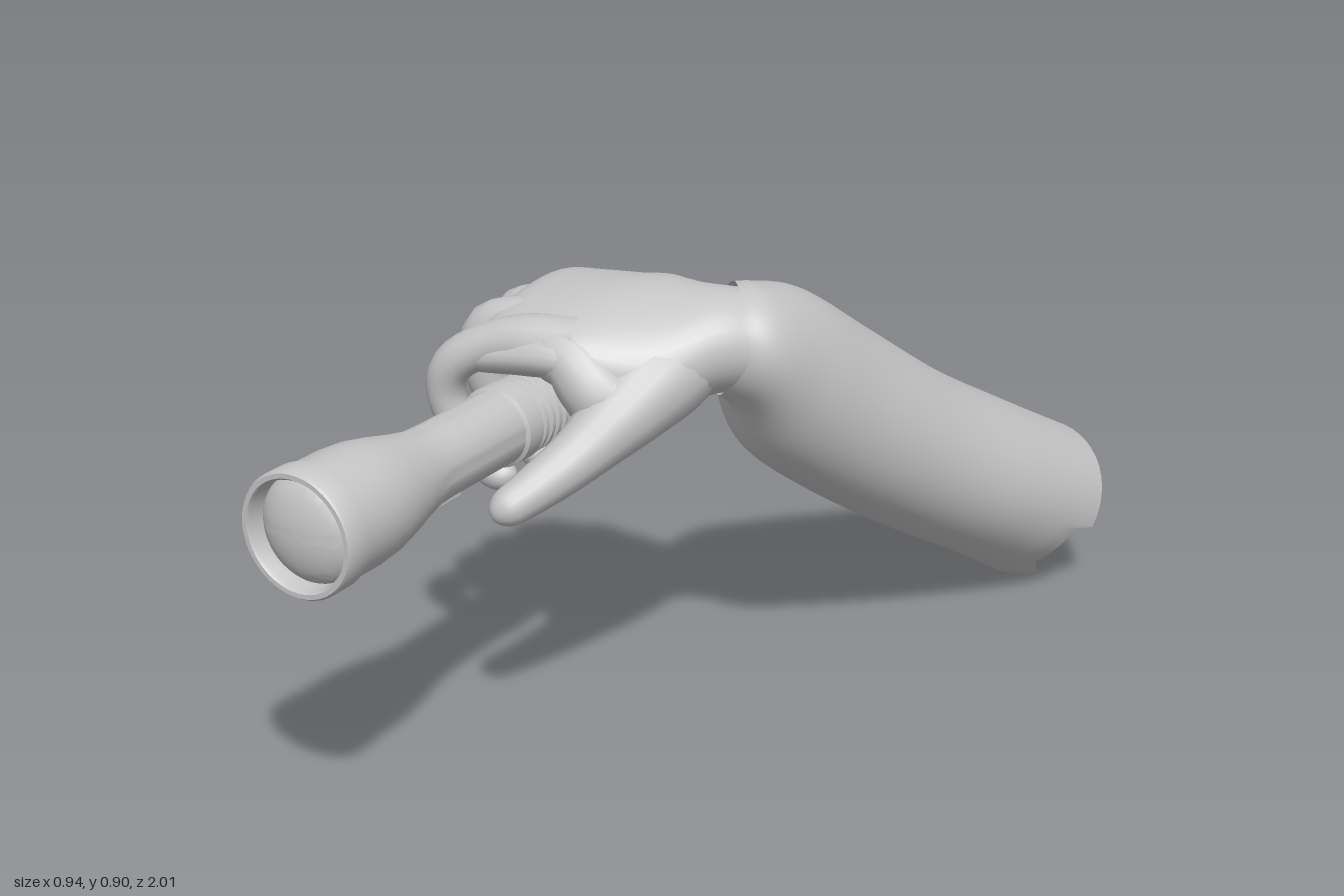
import * as THREE from 'three';
import { toCreasedNormals } from 'three/addons/utils/BufferGeometryUtils.js';

const grey = new THREE.MeshStandardMaterial({ color: 0xc6c6c6, side: THREE.DoubleSide });
grey.name = 'grey';

const V = (a) => new THREE.Vector3(...a);
const smoothCurve = (pts) => new THREE.CatmullRomCurve3(pts, false, 'catmullrom', 0.5);

function part(name, geometry, parent) {
  const mesh = new THREE.Mesh(geometry, grey);
  mesh.name = name;
  parent.add(mesh);
  return mesh;
}

// Skin closed rings of points into one smooth surface
function skin(rings) {
  const n = rings[0].length, index = [];
  for (let i = 0; i < rings.length - 1; i++) {
    for (let j = 0; j < n; j++) {
      const a = i * n + j, b = i * n + (j + 1) % n;
      index.push(a, b, a + n, b, b + n, a + n);
    }
  }
  const g = new THREE.BufferGeometry().setFromPoints(rings.flat());
  g.setIndex(index);
  g.computeVertexNormals();
  return g;
}

// Elliptical sections [centre, half axis, half axis] blended along their length
function loft(sections, steps, sides, adjust) {
  const [c, a, b] = [0, 1, 2].map((k) => smoothCurve(sections.map((s) => V(s[k]))));
  const rings = [];
  for (let i = 0; i <= steps; i++) {
    const t = i / steps, C = c.getPoint(t), A = a.getPoint(t), B = b.getPoint(t);
    const ring = [];
    for (let j = 0; j < sides; j++) {
      const q = (j / sides) * Math.PI * 2;
      const p = C.clone().addScaledVector(A, Math.cos(q)).addScaledVector(B, Math.sin(q));
      if (adjust) adjust(p, i, q);
      ring.push(p);
    }
    rings.push(ring);
  }
  return skin(rings);
}

// Tapered finger with a rounded tip
function digit(points, radii, steps = 36, sides = 16) {
  const path = smoothCurve(points.map(V));
  const size = smoothCurve(radii.map((r, i) => new THREE.Vector3(i, r, 0)));
  const frames = path.computeFrenetFrames(steps);
  const length = path.getLength(), tip = radii[radii.length - 1] * 1.2;
  const rings = [];
  for (let i = 0; i <= steps; i++) {
    // bunch the rings towards the tip
    const u = 1 - Math.pow(1 - i / steps, 1.6);
    const k = Math.min(steps, Math.round(u * steps));
    const T = path.getTangentAt(u);
    const N = frames.normals[k].clone().addScaledVector(T, -frames.normals[k].dot(T)).normalize();
    const B = new THREE.Vector3().crossVectors(T, N);
    const left = (1 - u) * length;
    const s = left < tip ? Math.sqrt(Math.max(0, 1 - (1 - left / tip) ** 2)) : 1;
    const r = size.getPoint(u).y * s;
    const C = path.getPointAt(u), ring = [];
    for (let j = 0; j < sides; j++) {
      const q = (j / sides) * Math.PI * 2;
      ring.push(C.clone().addScaledVector(N, r * Math.cos(q)).addScaledVector(B, r * Math.sin(q)));
    }
    rings.push(ring);
  }
  return skin(rings);
}

// Turned part along z from [radius, z] pairs
function turned(profile, sides = 48) {
  const g = new THREE.LatheGeometry(profile.map(([r, z]) => new THREE.Vector2(r, z)), sides);
  g.rotateX(Math.PI / 2);
  return toCreasedNormals(g, 0.6);
}

function buildTorch() {
  const torch = new THREE.Group();
  torch.name = 'torch';
  torch.position.set(-0.275, 0.667, 0);

  part('torchBody', turned([[0.073, 0.36], [0.073, 0.6], [0.075, 0.65], [0.085, 0.7],
    [0.1, 0.76], [0.11, 0.81], [0.114, 0.86], [0.114, 0.945]]), torch);
  part('headRing', turned([[0.112, 0.942], [0.119, 0.946], [0.119, 0.994], [0.115, 1],
    [0.106, 1], [0.102, 0.994], [0.102, 0.945]]), torch);
  part('collar', turned([[0.072, 0.355], [0.08, 0.36], [0.08, 0.405], [0.072, 0.41]]), torch);

  // domed lens
  const dome = [];
  for (let i = 0; i <= 10; i++) {
    const q = (i / 10) * Math.PI / 2;
    dome.push([0.103 * Math.cos(q), 0.95 + 0.048 * Math.sin(q)]);
  }
  part('lens', turned(dome), torch);

  // ribbed grip
  const ribs = [];
  for (let i = 0; i < 20; i++) {
    const z = -0.085 + i * 0.022;
    ribs.push([0.07, z], [0.078, z + 0.004], [0.078, z + 0.014], [0.07, z + 0.018]);
  }
  part('grip', turned(ribs, 36), torch);
  part('tailCap', turned([[0, -0.115], [0.07, -0.115], [0.077, -0.108], [0.077, -0.09], [0.07, -0.085]]), torch);

  part('switch', new THREE.BoxGeometry(0.04, 0.012, 0.1), torch).position.set(0, -0.075, 0.6);
  return torch;
}

function buildHand() {
  const hand = new THREE.Group();
  hand.name = 'hand';

  // wrist to knuckles
  part('palm', loft([
    [[0.06, 0.79, 0.025], [0.068, 0, 0.085], [0, 0.098, 0]],
    [[0.005, 0.792, 0.064], [0.074, 0, 0.106], [0, 0.104, 0]],
    [[-0.07, 0.79, 0.118], [0.065, -0.03, 0.158], [0, 0.106, 0]],
    [[-0.17, 0.815, 0.162], [0.018, -0.02, 0.194], [0, 0.08, 0]],
    [[-0.27, 0.812, 0.172], [0, -0.022, 0.197], [0, 0.075, 0]],
    [[-0.35, 0.805, 0.178], [0, -0.03, 0.19], [0, 0.066, 0]],
    [[-0.395, 0.79, 0.18], [0, -0.03, 0.165], [0, 0.04, 0]],
    [[-0.408, 0.78, 0.18], [0, -0.02, 0.14], [0, 0.004, 0]],
  ], 42, 36), hand);

  // index finger sits lower than the rest
  part('indexFinger', digit([
    [-0.16, 0.815, 0.28], [-0.31, 0.806, 0.318], [-0.403, 0.762, 0.348], [-0.43, 0.69, 0.348],
    [-0.398, 0.61, 0.337], [-0.345, 0.54, 0.328], [-0.29, 0.535, 0.325],
  ], [0.055, 0.055, 0.045, 0.04, 0.038, 0.036, 0.03]), hand);

  // other fingers curled round the grip: [name, base z, knuckle z, tip z, reach, tip lift, size]
  const fingers = [
    ['middleFinger', 0.215, 0.245, 0.2, 0.012, -0.002, 1],
    ['ringFinger', 0.125, 0.14, 0.105, 0.018, 0.005, 0.97],
    ['littleFinger', 0.045, 0.04, 0.014, 0, 0.03, 0.85],
  ];
  for (const [name, z0, z1, z2, out, lift, k] of fingers) {
    part(name, digit([
      [-0.22, 0.806, z0],
      [-0.33, 0.818, (z0 + z1) / 2],
      [-0.39 - out, 0.795, z1],
      [-0.4 - out, 0.71, z1],
      [-0.375 - out, 0.63 + lift * 0.5, (z1 + z2) / 2],
      [-0.325, 0.543 + lift, z2],
      [-0.255, 0.54 + lift, z2],
    ], [0.05, 0.052, 0.047, 0.041, 0.038, 0.036, 0.031].map((r) => r * k)), hand);
  }

  // thumb laid along the torch
  part('thumb', digit([
    [0.0, 0.79, 0.09], [-0.035, 0.75, 0.19], [-0.066, 0.695, 0.295], [-0.1, 0.64, 0.385],
    [-0.14, 0.595, 0.465], [-0.187, 0.552, 0.55],
  ], [0.078, 0.092, 0.078, 0.058, 0.046, 0.034]), hand);
  // flesh joining the thumb to the index finger
  part('thumbWeb', digit([
    [-0.04, 0.75, 0.17], [-0.09, 0.72, 0.28], [-0.12, 0.745, 0.302], [-0.17, 0.79, 0.3], [-0.26, 0.806, 0.305],
  ], [0.09, 0.078, 0.068, 0.06, 0.052]), hand);
  part('thumbBase', digit([
    [-0.02, 0.77, 0.08], [-0.08, 0.755, 0.18], [-0.13, 0.78, 0.24], [-0.2, 0.81, 0.27],
  ], [0.085, 0.085, 0.075, 0.06]), hand);
  return hand;
}

export function createModel() {
  const model = new THREE.Group();
  model.name = 'armWithTorch';
  model.add(buildTorch(), buildHand());

  // open sleeve from the torn elbow end to the wrist
  const tear = (p, i, q) => {
    const deg = (q * 180) / Math.PI - 360;
    if (i < 4 && deg > -63 && deg < -22) p.addScaledVector(new THREE.Vector3(-0.012, 0.034, 0.046), 1 - i * 0.28);
  };
  part('sleeve', loft([
    [[0.277, 0.163, -0.907], [0.193, 0.03, 0.045], [0, 0.16, -0.088]],
    [[0.22, 0.28, -0.71], [0.189, 0.015, 0.055], [0, 0.155, -0.09]],
    [[0.153, 0.405, -0.5], [0.182, 0.01, 0.055], [0, 0.153, -0.092]],
    [[0.094, 0.56, -0.27], [0.167, 0.01, 0.05], [0, 0.155, -0.092]],
    [[0.058, 0.683, -0.1], [0.151, 0.015, 0.05], [0, 0.157, -0.072]],
    [[0.046, 0.763, 0], [0.12, 0.02, 0.075], [0, 0.124, -0.035]],
    [[0.022, 0.79, 0.045], [0.078, 0.015, 0.09], [0.01, 0.11, -0.02]],
  ], 48, 48, tear), model);
  return model;
}
